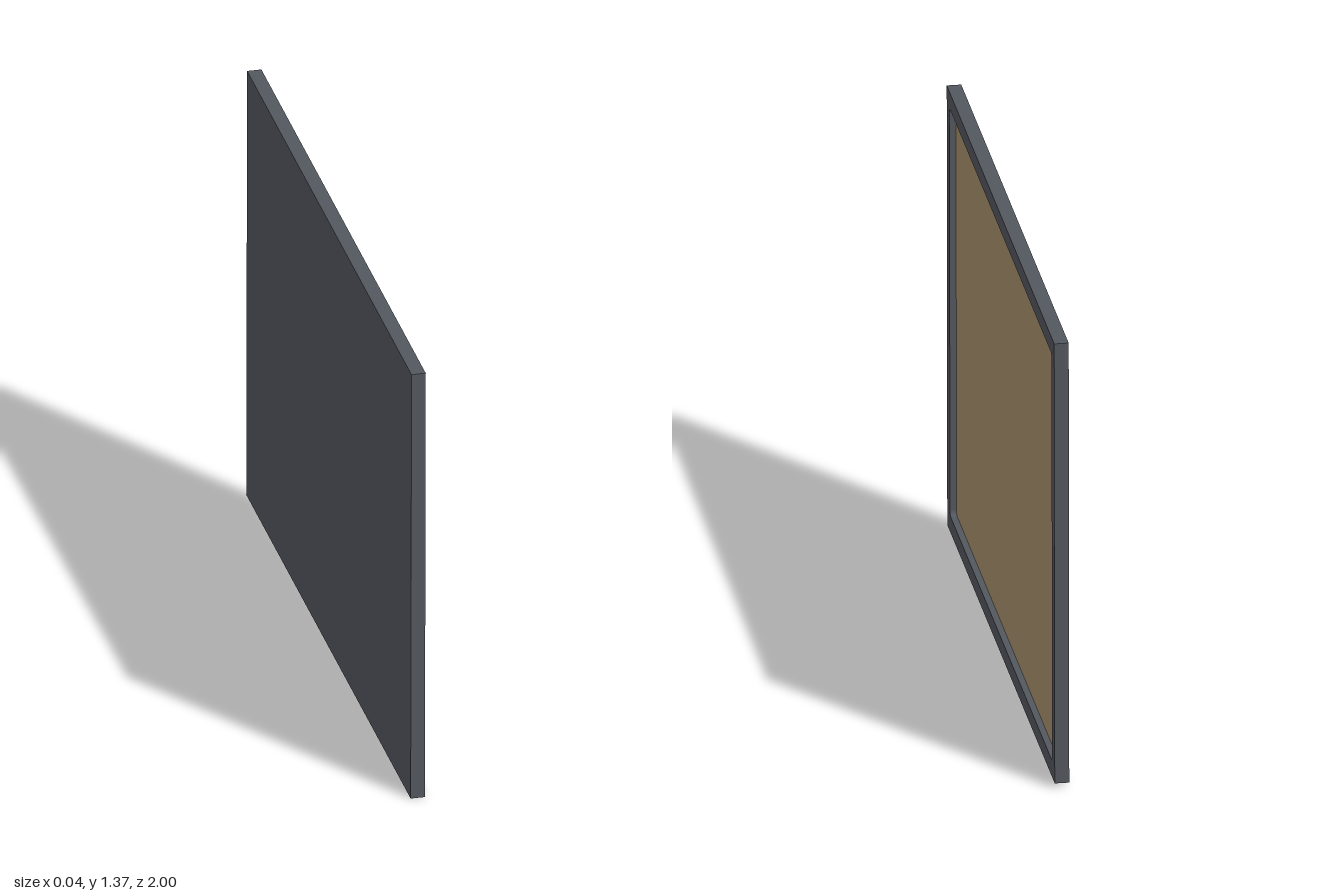
import * as THREE from 'three';

const WIDTH = 1.99, HEIGHT = 1.358, HALF_DEPTH = 0.021, BORDER = 0.05;

// Rectangle centred on the origin with rounded corners
function roundedRect(PathType, w, h, r) {
  const p = new PathType();
  const x = w / 2, y = h / 2;
  p.moveTo(-x + r, -y);
  p.lineTo(x - r, -y);
  p.absarc(x - r, -y + r, r, -Math.PI / 2, 0, false);
  p.lineTo(x, y - r);
  p.absarc(x - r, y - r, r, 0, Math.PI / 2, false);
  p.lineTo(-x + r, y);
  p.absarc(-x + r, y - r, r, Math.PI / 2, Math.PI, false);
  p.lineTo(-x, -y + r);
  p.absarc(-x + r, -y + r, r, Math.PI, Math.PI * 1.5, false);
  return p;
}

export function createModel() {
  const frameMat = new THREE.MeshStandardMaterial({ color: 0x53575e });
  frameMat.name = 'dark grey frame';
  const corkMat = new THREE.MeshStandardMaterial({ color: 0xa8906c });
  corkMat.name = 'tan cork';

  const board = new THREE.Group();
  board.name = 'board';
  const add = (name, geometry, material) => {
    const mesh = new THREE.Mesh(geometry, material);
    mesh.name = name;
    board.add(mesh);
    return mesh;
  };
  const innerW = WIDTH - 2 * BORDER, innerH = HEIGHT - 2 * BORDER;

  // Solid backing, the rear half of the thickness
  add('backing', new THREE.BoxGeometry(WIDTH, HEIGHT, HALF_DEPTH), frameMat)
    .position.z = -HALF_DEPTH / 2;

  // Raised frame with a rounded opening
  const outline = new THREE.Shape([
    new THREE.Vector2(-WIDTH / 2, -HEIGHT / 2), new THREE.Vector2(WIDTH / 2, -HEIGHT / 2),
    new THREE.Vector2(WIDTH / 2, HEIGHT / 2), new THREE.Vector2(-WIDTH / 2, HEIGHT / 2),
  ]);
  outline.holes.push(roundedRect(THREE.Path, innerW, innerH, 0.015));
  add('frame', new THREE.ExtrudeGeometry(outline, {
    depth: HALF_DEPTH, bevelEnabled: false, curveSegments: 4,
  }), frameMat);

  // Recessed pin surface
  add('corkPanel', new THREE.ExtrudeGeometry(roundedRect(THREE.Shape, innerW, innerH, 0.015), {
    depth: 0.002, bevelEnabled: false, curveSegments: 4,
  }), corkMat);

  // Turn the board to face +x, hanging very slightly crooked
  board.rotation.y = Math.PI / 2;
  const model = new THREE.Group();
  model.name = 'pinBoard';
  const tilt = new THREE.Group();
  tilt.name = 'tiltedBoard';
  tilt.rotation.x = 0.0075;
  tilt.position.y = 0.6865;
  tilt.add(board);
  model.add(tilt);
  return model;
}
